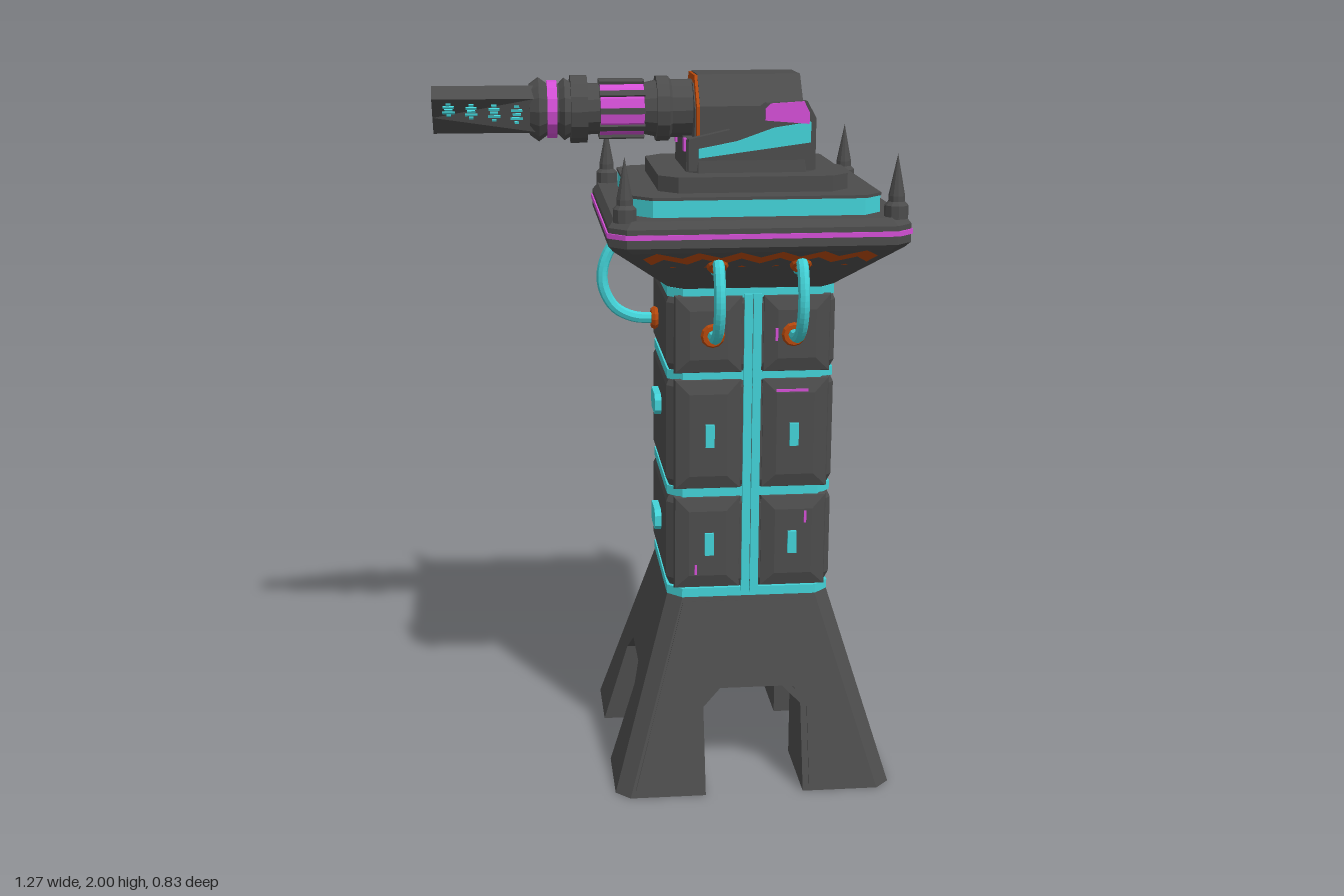
import * as THREE from 'three';

const mat = (name, color, extra = {}) => {
  const m = new THREE.MeshStandardMaterial({ color, flatShading: true, ...extra });
  m.name = name;
  return m;
};

export function createModel() {
  const grey = mat('dark grey metal', 0x4c4c4c);
  const cyan = mat('cyan light', 0x43d3d8);
  const magenta = mat('magenta light', 0xd44fd6);
  const orange = mat('orange paint', 0xb4480c, { side: THREE.DoubleSide });

  const model = new THREE.Group();
  const tower = new THREE.Group();
  tower.name = 'tower';
  tower.position.x = 0.225;
  model.add(tower);

  const add = (name, geo, m, parent = tower, x = 0, y = 0, z = 0) => {
    const mesh = new THREE.Mesh(geo, m);
    mesh.name = name;
    mesh.position.set(x, y, z);
    parent.add(mesh);
    return mesh;
  };
  const box = (name, m, w, h, d, x, y, z, parent = tower) =>
    add(name, new THREE.BoxGeometry(w, h, d), m, parent, x, y, z);

  // Closed faceted solid through rings of points; turned outward by its volume
  const loft = (rings) => {
    const tris = [];
    const n = rings[0].length;
    for (let r = 0; r < rings.length - 1; r++) for (let i = 0; i < n; i++) {
      const j = (i + 1) % n, a = rings[r], b = rings[r + 1];
      tris.push([a[i], a[j], b[j]], [a[i], b[j], b[i]]);
    }
    const last = rings[rings.length - 1];
    for (let i = 1; i < n - 1; i++) {
      tris.push([rings[0][0], rings[0][i + 1], rings[0][i]], [last[0], last[i], last[i + 1]]);
    }
    let volume = 0;
    for (const [a, b, c] of tris) {
      volume += a[0] * (b[1] * c[2] - b[2] * c[1]) - a[1] * (b[0] * c[2] - b[2] * c[0]) + a[2] * (b[0] * c[1] - b[1] * c[0]);
    }
    if (volume < 0) tris.forEach((t) => t.reverse());
    const geo = new THREE.BufferGeometry();
    geo.setAttribute('position', new THREE.Float32BufferAttribute(tris.flat(2), 3));
    geo.computeVertexNormals();
    return geo;
  };
  const oct = (hx, hz, c, y) => [
    [hx, y, hz - c], [hx - c, y, hz], [c - hx, y, hz], [-hx, y, hz - c],
    [-hx, y, c - hz], [c - hx, y, -hz], [hx - c, y, -hz], [hx, y, c - hz]];
  const slab = (name, m, ...levels) => add(name, loft(levels.map(([h, c, y]) => oct(h, h, c, y))), m);
  const shape = (pts) => new THREE.Shape(pts.map(([x, y]) => new THREE.Vector2(x, y)));
  const plate = (pts, depth) => new THREE.ExtrudeGeometry(shape(pts), { depth, bevelEnabled: false });

  // Splayed base: four legs under a solid block, leaving two crossing arches
  const baseHalf = (y) => 0.395 - 0.303 * y;
  for (const sx of [-1, 1]) for (const sz of [-1, 1]) {
    const ring = (y, inner) => {
      const h = baseHalf(y), c = 0.04;
      return [[inner, inner], [h, inner], [h, h - c], [h - c, h], [inner, h]].map(([x, z]) => [x * sx, y, z * sz]);
    };
    add('leg', loft([ring(0, 0.14), ring(0.24, 0.14), ring(0.29, 0.09)]), grey);
  }
  slab('baseBlock', grey, [baseHalf(0.29), 0.04, 0.29], [0.23, 0.04, 0.545]);

  // Body tiers with light bands in the joints
  const tiers = [[0.57, 0.845], [0.865, 1.185], [1.2, 1.42]];
  for (const [y0, y1] of tiers) {
    slab('bodyTier', grey, [0.224, 0.035, y0], [0.235, 0.04, y0 + 0.025], [0.235, 0.04, y1 - 0.025], [0.224, 0.035, y1]);
  }
  for (const y of [0.555, 0.855, 1.192, 1.425]) {
    slab('lightBand', cyan, [0.232, 0.04, y - 0.013], [0.232, 0.04, y + 0.013]);
  }

  // Cable arching from the platform's underside to the body
  const cable = (parent, x) => {
    const pts = [[1.5, 0.3], [1.53, 0.355], [1.48, 0.39], [1.41, 0.397], [1.345, 0.365], [1.315, 0.31], [1.31, 0.24]];
    const path = new THREE.CatmullRomCurve3(pts.map(([y, z]) => new THREE.Vector3(x, y, z)));
    add('cable', new THREE.TubeGeometry(path, 28, 0.016, 8), cyan, parent);
    add('cableSocket', new THREE.TorusGeometry(0.023, 0.011, 6, 12), orange, parent, x, 1.31, 0.25);
    add('cableSocket', new THREE.TorusGeometry(0.02, 0.01, 6, 12), orange, parent, x, 1.52, 0.335).rotation.x = 0.75;
  };

  // Decorated faces at front and back
  for (const front of [true, false]) {
    const side = new THREE.Group();
    side.name = front ? 'frontSide' : 'backSide';
    side.rotation.y = front ? 0 : Math.PI;
    tower.add(side);

    // Raised frame panel on the sloping base
    const panel = add('basePanel', plate([[-0.34, 0.02], [-0.158, 0.02], [-0.158, 0.26], [-0.1, 0.32], [0.1, 0.32],
      [0.158, 0.26], [0.158, 0.02], [0.34, 0.02], [0.19, 0.552], [-0.19, 0.552]], 0.006), grey, side, 0, 0, 0.394);
    panel.rotation.x = -Math.atan(0.303);

    for (const s of [-1, 1]) {
      tiers.forEach(([y0, y1], t) => {
        const rect = (b, z) => [[-0.095 + b, y0 + b, z], [0.095 - b, y0 + b, z], [0.095 - b, y1 - b, z], [-0.095 + b, y1 - b, z]];
        add('bodyPanel', loft([rect(0, 0.225), rect(0.004, 0.236), rect(0.042, 0.248)]), grey, side, s * 0.122);
        if (t === 1 || (t === 0 && front)) box('panelLight', cyan, 0.025, 0.065, 0.016, s * 0.118, (y0 + y1) / 2, 0.25, side);
      });
      box('centreLight', cyan, 0.023, 0.865, 0.02, s * 0.0125, 0.99, 0.233, side);
      cable(side, s * 0.112);
    }
    box('panelMark', magenta, 0.09, 0.007, 0.006, 0.112, 1.15, 0.246, side);
    box('panelMark', magenta, 0.007, 0.035, 0.006, 0.155, 0.78, 0.247, side);
    box('panelMark', magenta, 0.007, 0.035, 0.006, 0.065, 1.31, 0.249, side);
    box('panelMark', magenta, 0.007, 0.03, 0.006, -0.155, 0.63, 0.247, side);

    // Zigzag warning stripes on the platform's underside
    const at = (u, v) => [u * (0.18 + 0.155 * v), 1.435 + 0.13 * v, 0.2255 + 0.165 * v];
    const pos = [];
    for (const v0 of [0.05, 0.4, 0.75]) for (let i = 0; i < 12; i++) {
      const v = (k) => v0 - 0.05 + (k % 2) * 0.14;
      const q = [at(i / 6 - 1, v(i)), at((i + 1) / 6 - 1, v(i + 1)),
        at((i + 1) / 6 - 1, v(i + 1) + 0.16), at(i / 6 - 1, v(i) + 0.16)];
      pos.push(q[0], q[1], q[2], q[0], q[2], q[3]);
    }
    const stripes = new THREE.BufferGeometry();
    stripes.setAttribute('position', new THREE.Float32BufferAttribute(pos.flat(), 3));
    stripes.computeVertexNormals();
    add('warningStripes', stripes, orange, side);
  }

  // Gun side: one cable and two long lamps
  const gunSide = new THREE.Group();
  gunSide.name = 'gunSide';
  gunSide.rotation.y = -Math.PI / 2;
  tower.add(gunSide);
  cable(gunSide, 0);
  for (const y of [0.715, 1.065]) {
    add('sideLamp', plate([[-0.06, -0.015], [-0.045, -0.03], [0.045, -0.03], [0.06, -0.015],
      [0.06, 0.015], [0.045, 0.03], [-0.045, 0.03], [-0.06, 0.015]], 0.022), cyan, gunSide, 0, y, 0.232);
  }

  // Platform
  slab('platformUnderside', grey, [0.22, 0.04, 1.43], [0.39, 0.045, 1.565]);
  slab('platformRim', grey, [0.39, 0.045, 1.565], [0.403, 0.045, 1.58], [0.403, 0.045, 1.63], [0.388, 0.045, 1.65]);
  slab('rimLight', magenta, [0.407, 0.045, 1.603], [0.407, 0.045, 1.616]);
  slab('deckLight', cyan, [0.333, 0.05, 1.65], [0.333, 0.05, 1.695]);
  slab('deck', grey, [0.335, 0.05, 1.695], [0.335, 0.05, 1.703]);
  slab('turretPlinth', grey, [0.258, 0.05, 1.7], [0.258, 0.05, 1.745]);
  for (const sx of [-1, 1]) for (const sz of [-1, 1]) {
    const profile = [[0, 0], [0.032, 0], [0.032, 0.035], [0.022, 0.045], [0.022, 0.06], [0, 0.17]];
    add('cornerSpike', new THREE.LatheGeometry(profile.map(([x, y]) => new THREE.Vector2(x, y)), 10), grey, tower, sx * 0.36, 1.645, sz * 0.36);
  }

  // Turret
  add('turretBase', loft([oct(0.176, 0.178, 0.03, 1.745), oct(0.174, 0.165, 0.03, 1.83)]), grey);
  const head = [[-0.14, 1.75], [0.14, 1.75], [0.14, 1.92], [0.072, 2], [-0.072, 2], [-0.14, 1.92]];
  add('turretHead', loft([-0.138, 0.145].map((x) => head.map(([z, y]) => [x, y, z]))), grey);
  const inset = head.map(([z, y]) => [-0.146, 1.875 + (y - 1.875) * 0.98, z * 0.98]);
  add('headTrim', loft([inset, inset.map(([, y, z]) => [-0.137, y, z])]), orange);
  add('headFace', loft([-0.149, -0.14].map((x) => inset.map(([, y, z]) => [x, 1.875 + (y - 1.875) * 0.82, z * 0.82]))), grey);
  for (const s of [-1, 1]) {
    const sidePlate = (name, pts, m, depth, z) =>
      add(name, plate(pts, depth), m, tower, 0, 0, s > 0 ? z : -z - depth);
    sidePlate('sideArmour', [[-0.172, 1.75], [0.175, 1.75], [0.175, 1.89], [0.15, 1.935], [0.04, 1.93], [-0.06, 1.86], [-0.172, 1.835]], grey, 0.035, 0.138);
    sidePlate('sideLight', [[-0.145, 1.785], [0.16, 1.825], [0.16, 1.88], [0.06, 1.865], [-0.04, 1.83], [-0.145, 1.81]], cyan, 0.009, 0.172);
    sidePlate('sideMark', [[0.035, 1.885], [0.155, 1.875], [0.155, 1.905], [0.14, 1.935], [0.05, 1.93], [0.035, 1.915]], magenta, 0.009, 0.174);
    box('baseMark', magenta, 0.008, 0.035, 0.03, -0.176, 1.815, s * 0.11);
  }

  // Gun, turned around the x axis
  const gun = new THREE.Group();
  gun.name = 'gun';
  gun.position.set(0, 1.903, 0);
  model.add(gun);
  const turned = (name, m, pts) => {
    const geo = new THREE.LatheGeometry(pts.map(([x, r]) => new THREE.Vector2(r, x)), 14);
    add(name, geo.rotateZ(-Math.PI / 2), m, gun);
  };
  turned('barrel', grey, [[-0.37, 0], [-0.37, 0.07], [-0.345, 0.088], [-0.32, 0.07], [-0.29, 0.07], [-0.275, 0.086], [-0.258, 0.075],
    [-0.258, 0.093], [-0.212, 0.093], [-0.212, 0.07], [-0.06, 0.07], [-0.022, 0.078], [-0.022, 0.09], [0.012, 0.09], [0.02, 0.08], [0.1, 0.08]]);
  turned('barrelRing', magenta, [[-0.322, 0.066], [-0.322, 0.079], [-0.295, 0.079], [-0.295, 0.066]]);
  turned('barrelCoil', magenta, [[-0.177, 0.066], [-0.177, 0.077], [-0.057, 0.077], [-0.057, 0.066]]);
  for (let i = 0; i < 10; i++) {
    const a = (i + 0.5) / 10 * Math.PI * 2;
    box('coilRib', grey, 0.124, 0.014, 0.016, -0.117, 0.076 * Math.cos(a), 0.076 * Math.sin(a), gun).rotation.x = a;
  }

  // Muzzle wedge, narrowing to a diagonal edge
  const muzzleRing = (x, c) => [[0.035, 0.068], [0.07, 0.035], [c, -c], [-0.035, -0.068], [-0.07, -0.035], [-c, c]].map(([z, y]) => [x, y, z]);
  const rear = muzzleRing(-0.355, 0.056), tip = muzzleRing(-0.635, 0.019);
  add('muzzle', loft([rear, tip]), grey, gun);

  // Rows of small lights lying on the muzzle's broad faces
  const onMuzzle = (i, j, u, v) => {
    const p = (k) => new THREE.Vector3(...rear[k]).lerp(new THREE.Vector3(...tip[k]), u);
    return p(i).lerp(p(j), v);
  };
  for (const [i, j] of [[4, 5], [1, 2]]) for (let k = 0; k < 4; k++) for (let t = 0; t < 5; t++) {
    const u = 0.18 + k * 0.22, v = 0.25 + t * 0.13;
    const p = onMuzzle(i, j, u, v), d = onMuzzle(i, j, u, 1).sub(onMuzzle(i, j, u, 0));
    box('muzzleLight', cyan, [0.014, 0.03, 0.022, 0.034, 0.012][t], 0.006, 0.005, p.x, p.y, p.z, gun).rotation.x = Math.atan2(d.z, d.y);
  }
  box('muzzleTipLight', cyan, 0.006, 0.13, 0.008, -0.633, 0, 0, gun).rotation.x = Math.PI / 4;

  return model;
}
